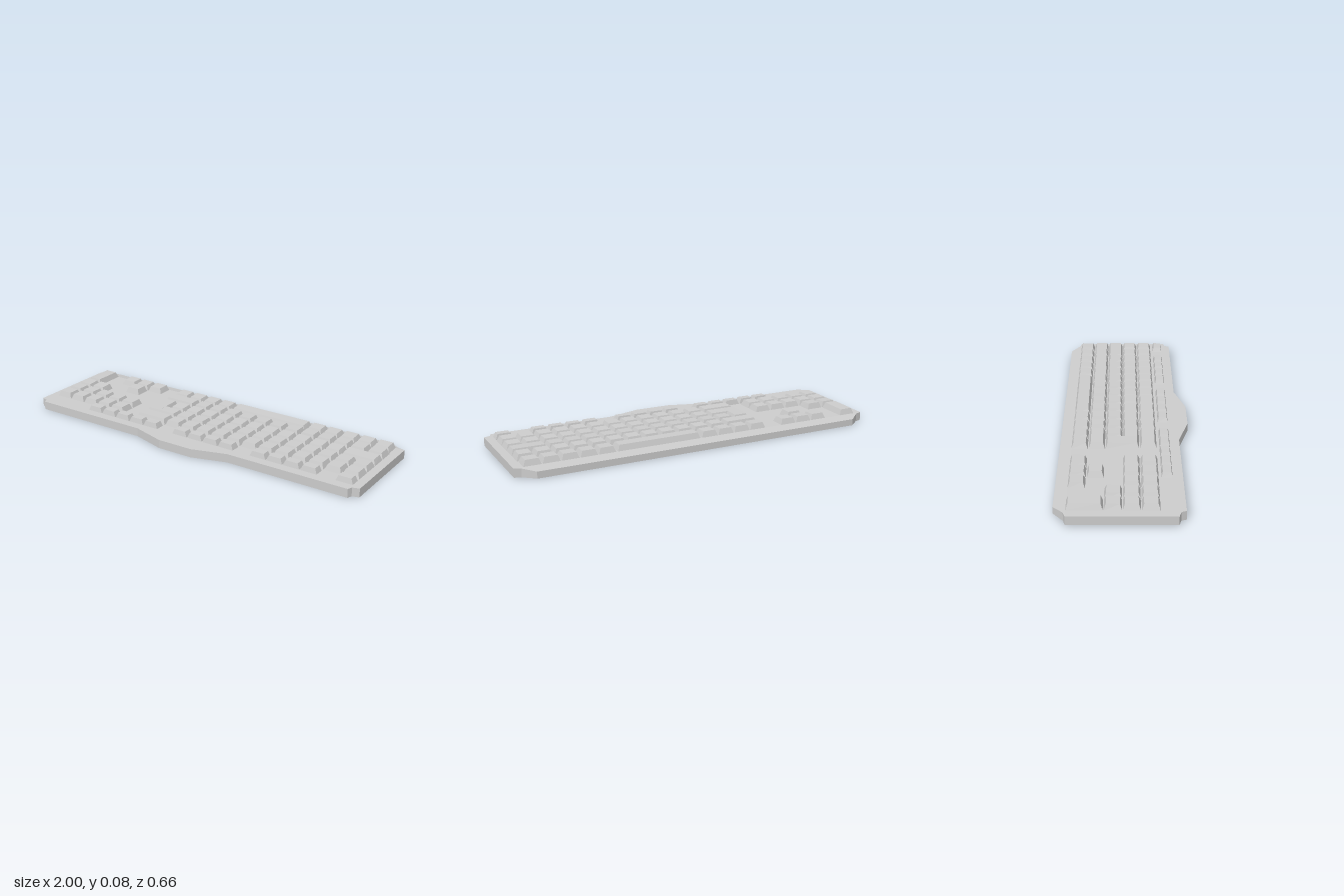
import * as THREE from 'three';

const material = new THREE.MeshStandardMaterial({ color: 0xcccccc, flatShading: true });
const DECK = 0.046;          // height of the case top
const PITCH = 0.0957;        // column spacing
const LEFT = -0.953;         // left edge of column 0
const GAP = 0.005;

// Key rows, from the back edge to the front: z range and top heights
const ROWS = [
  { back: -0.27, front: -0.188, yBack: 0.076, yFront: 0.074 },
  { back: -0.183, front: -0.102, yBack: 0.077, yFront: 0.077 },
  { back: -0.098, front: -0.015, yBack: 0.077, yFront: 0.074 },
  { back: -0.012, front: 0.07, yBack: 0.075, yFront: 0.075 },
  { back: 0.074, front: 0.158, yBack: 0.075, yFront: 0.075 },
  { back: 0.172, front: 0.225, yBack: 0.074, yFront: 0.073 },
];

// Each entry: [first column, width in columns, how many keys]
const LAYOUT = [
  [[2, 1, 3], [6, 1, 4], [10.05, 4.85, 1], [14.95, 1, 5]],
  [[3, 1, 1], [6, 2, 1], [8, 1, 12]],
  [[0, 1, 2], [7, 1, 11], [18, 2, 1]],
  [[0, 1, 5], [8, 1, 12]],
  [[0, 1, 5], [6, 2, 1], [8, 1, 12]],
  [[3, 1, 5], [9, 1, 4], [14, 1, 4], [19, 1, 1]],
];

// Slab from half an outline of [x, z] points, mirrored across x = 0
function slab(half) {
  const points = half.concat(half.map(([x, z]) => [-x, z]).reverse());
  const shape = new THREE.Shape(points.map(([x, z]) => new THREE.Vector2(x, -z)));
  const g = new THREE.ExtrudeGeometry(shape, { depth: DECK, bevelEnabled: false });
  return g.rotateX(-Math.PI / 2);
}

function addMesh(group, geometry, name) {
  const mesh = new THREE.Mesh(geometry, material);
  mesh.name = name;
  group.add(mesh);
  return mesh;
}

// Tapered keycap covering some columns, from one row to another
function addKey(group, column, width, first, last = first, name = 'key') {
  const a = ROWS[first], b = ROWS[last];
  const w = width * PITCH - GAP, d = b.front - a.back;
  const g = new THREE.BoxGeometry(w, 1, d);
  const p = g.attributes.position;
  const inset = first === 5 ? 0.006 : 0.01;
  for (let i = 0; i < p.count; i++) {
    const x = p.getX(i), z = p.getZ(i);
    if (p.getY(i) < 0) {
      p.setY(i, DECK);
    } else {
      p.setXYZ(i, x - Math.sign(x) * 0.012, z < 0 ? a.yBack : b.yFront, z - Math.sign(z) * inset);
    }
  }
  g.computeVertexNormals();
  const mesh = addMesh(group, g, name);
  mesh.position.set(LEFT + column * PITCH + w / 2, 0, (a.back + b.front) / 2);
}

export function createModel() {
  const model = new THREE.Group();
  model.name = 'keyboard';

  // Flat case with notched front corners and a bulge at the front
  const body = slab([[0.1, 0.33], [0.285, 0.275], [0.955, 0.275], [0.965, 0.25], [1, 0.24], [1, -0.27]]);
  addMesh(model, body, 'case');

  // Back lip sloping down to the rear edge
  const lip = slab([[1, -0.27], [0.965, -0.28], [0.905, -0.33]]);
  const p = lip.attributes.position;
  for (let i = 0; i < p.count; i++) {
    if (p.getY(i) > 0.01) p.setY(i, DECK + (p.getZ(i) + 0.27) * 0.183);
  }
  lip.computeVertexNormals();
  addMesh(model, lip, 'backLip');

  // Ordinary keys
  const keys = new THREE.Group();
  keys.name = 'keys';
  model.add(keys);
  LAYOUT.forEach((runs, row) => {
    for (const [column, width, count] of runs) {
      for (let i = 0; i < count; i++) addKey(keys, column + i * width, width, row);
    }
  });

  // Tall corner key and the L-shaped key made of two caps
  addKey(keys, 0, 1, 0, 1, 'tallKey');
  addKey(keys, 6, 1, 2, 3, 'cornerKeyStem');
  addKey(keys, 6, 2, 3, 3, 'cornerKeyFoot');

  return model;
}
